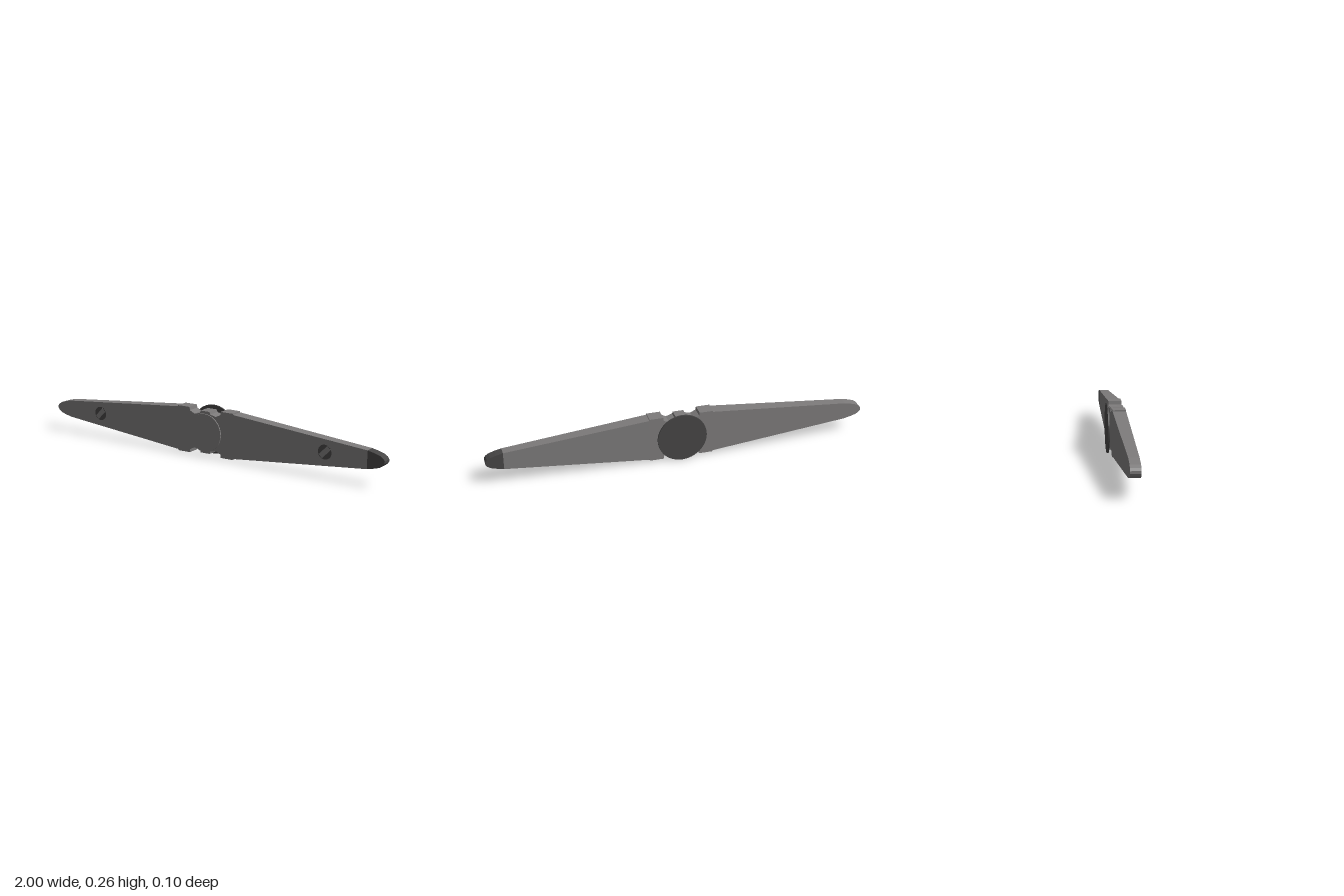
import * as THREE from 'three';

const CX = -0.004, CY = 0.131;

function extrude(points, depth) {
  const shape = new THREE.Shape(points.map(([x, y]) => new THREE.Vector2(x, y)));
  return new THREE.ExtrudeGeometry(shape, { depth, bevelEnabled: false });
}

// Close a half outline by mirroring it below the long axis
const mirrorY = half => [...half, ...half.map(([x, y]) => [x, -y]).reverse()];

// Body thickness tapers evenly from the hub to the tips
function taper(geometry) {
  const p = geometry.attributes.position;
  for (let i = 0; i < p.count; i++) {
    const t = THREE.MathUtils.clamp((Math.abs(p.getX(i)) - 0.168) / 0.75, 0, 1);
    p.setZ(i, p.getZ(i) > 0.5 ? 0.038 - 0.009 * t : -0.03 + 0.009 * t);
  }
  geometry.computeVertexNormals();
  return geometry;
}

export function createModel() {
  const model = new THREE.Group();
  model.name = 'taperedHand';
  const grey = new THREE.MeshStandardMaterial({ color: 0x7d7b7b });
  grey.name = 'mid grey';
  const dark = new THREE.MeshStandardMaterial({ color: 0x474646 });
  dark.name = 'dark grey';

  const add = (name, geometry, material, x = 0, y = CY, z = 0) => {
    const mesh = new THREE.Mesh(geometry, material);
    mesh.name = name;
    mesh.position.set(x, y, z);
    model.add(mesh);
    return mesh;
  };

  // Hub with raised shoulders, notches and a centre tab
  const hub = [
    [0.168, 0.121], [0.096, 0.121], [0.094, 0.104], [0.065, 0.09], [0.031, 0.098],
    [0.028, 0.111], [-0.028, 0.111], [-0.031, 0.098], [-0.065, 0.09], [-0.094, 0.104],
    [-0.096, 0.121], [-0.168, 0.121],
  ].map(([x, y]) => [x + CX, y]);
  add('hub', taper(extrude(mirrorY(hub), 1)), grey);

  // Arms and rounded tips
  for (const s of [1, -1]) {
    const side = s > 0 ? 'left' : 'right';
    const arm = [[s * 0.168 + CX, 0.115], [s * 0.91, 0.046]];
    const tip = [[0.91, 0.046], [0.945, 0.038], [0.975, 0.029], [0.992, 0.018], [1, 0.006]]
      .map(([x, y]) => [s * x, y]);
    add(side + 'Arm', taper(extrude(mirrorY(arm), 1)), grey);
    add(side + 'Tip', taper(extrude(mirrorY(tip), 1)), s > 0 ? dark : grey);

    // Round stud with a diagonal bar
    const x = s * 0.69 + CX;
    const stud = new THREE.CylinderGeometry(0.037, 0.037, 0.005, 32).rotateX(Math.PI / 2);
    add(side + 'Stud', stud, dark, x, CY + 0.003, 0.0308);
    const bar = new THREE.BoxGeometry(0.066, 0.026, 0.004).rotateZ(Math.PI / 4);
    add(side + 'StudBar', bar, grey, x, CY + 0.003, 0.032);
  }

  // Front cap and larger back plate
  const disc = (r, h) => new THREE.CylinderGeometry(r, r, h, 48).rotateX(Math.PI / 2);
  add('frontCap', disc(0.1, 0.006), grey, CX, 0.13, 0.045);
  add('backPlate', disc(0.13, 0.008), dark, CX, 0.13, -0.044);
  return model;
}
